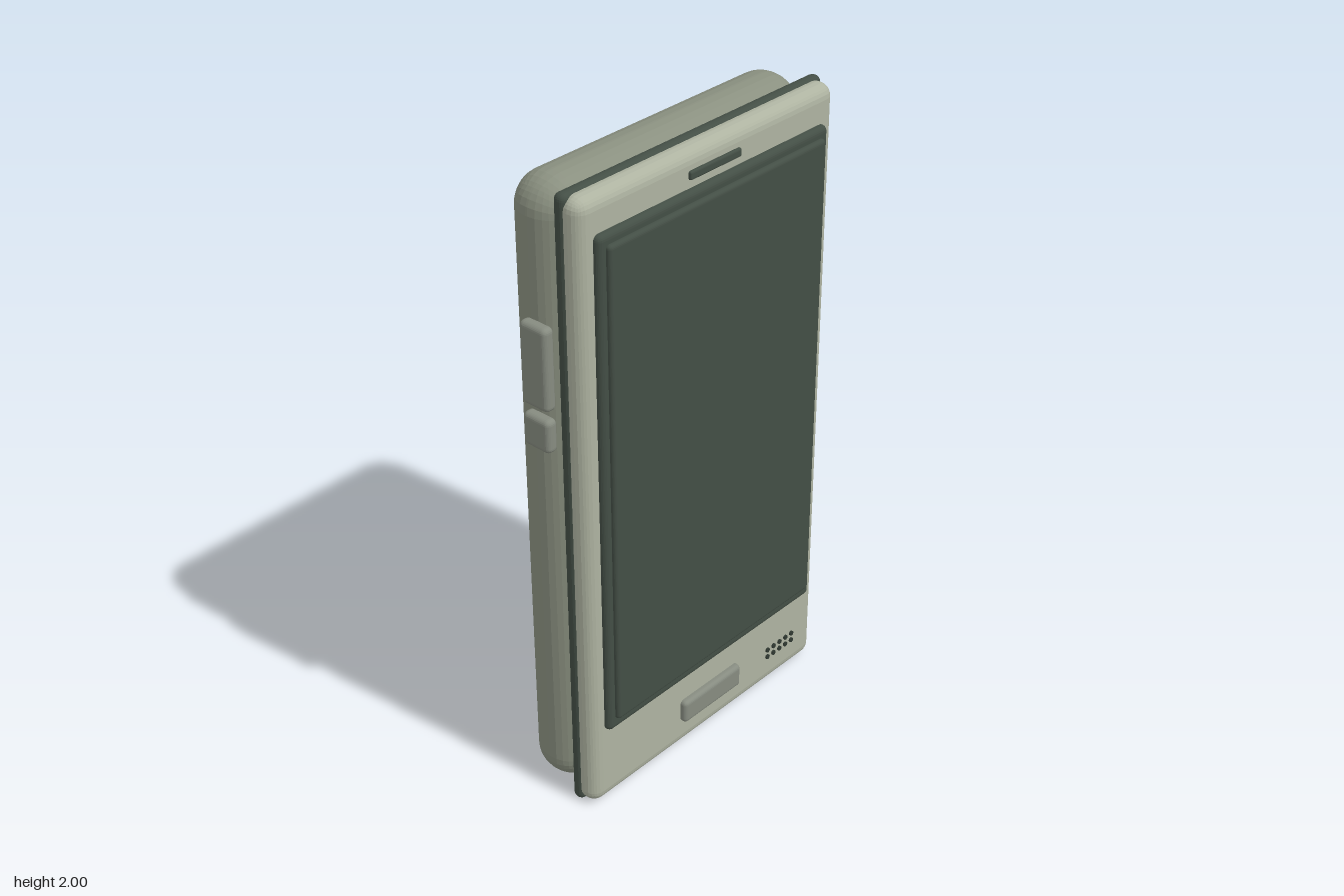
import * as THREE from 'three';
import { RoundedBoxGeometry } from 'three/addons/geometries/RoundedBoxGeometry.js';

const paint = (name, color) => {
  const m = new THREE.MeshStandardMaterial({ color, flatShading: true });
  m.name = name;
  return m;
};

export function createModel() {
  const phone = new THREE.Group();
  phone.name = 'phone';

  const shell = paint('greyGreenShell', 0x8a9080);
  const pale = paint('paleFace', 0xaeb3a1);
  const dark = paint('darkGlass', 0x434e45);
  const key = paint('greyKey', 0x868b80);
  const hole = paint('darkHole', 0x2f3831);

  // Rounded block given by its limits on each axis
  const block = (name, material, [x0, x1], [y0, y1], [z0, z1], radius, segments = 3) => {
    const geometry = new RoundedBoxGeometry(x1 - x0, y1 - y0, z1 - z0, segments, radius);
    const mesh = new THREE.Mesh(geometry, material);
    mesh.position.set((x0 + x1) / 2, (y0 + y1) / 2, (z0 + z1) / 2);
    mesh.name = name;
    phone.add(mesh);
  };

  // Casing: thick back, dark seam band, pale front plate
  block('backShell', shell, [-0.495, 0.515], [0.002, 1.998], [-0.163, 0.04], 0.098, 4);
  block('seamBand', dark, [-0.498, 0.518], [0, 2], [0.033, 0.076], 0.02);
  block('frontPlate', pale, [-0.495, 0.515], [0.005, 1.995], [0.042, 0.125], 0.04);

  // Display: stepped frame and glass
  block('screenFrame', dark, [-0.445, 0.465], [0.275, 1.89], [0.105, 0.145], 0.018);
  block('screenGlass', dark, [-0.42, 0.44], [0.315, 1.86], [0.125, 0.159], 0.012);

  // Earpiece slot and home key
  block('earpiece', dark, [-0.09, 0.112], [1.914, 1.94], [0.115, 0.134], 0.006, 2);
  block('homeKey', key, [-0.117, 0.14], [0.1, 0.18], [0.105, 0.146], 0.014);

  // Speaker holes, two rows of five
  const dotGeometry = new THREE.CylinderGeometry(0.008, 0.008, 0.008, 8).rotateX(Math.PI / 2);
  for (let row = 0; row < 2; row++) {
    for (let col = 0; col < 5; col++) {
      const dot = new THREE.Mesh(dotGeometry, hole);
      dot.position.set(0.289 + col * 0.029, 0.112 + row * 0.027, 0.127);
      dot.name = 'speakerHole';
      phone.add(dot);
    }
  }

  // Side keys on the model's right edge
  block('longSideKey', key, [-0.525, -0.485], [1.352, 1.606], [-0.079, 0.019], 0.016);
  block('shortSideKey', key, [-0.525, -0.485], [1.222, 1.326], [-0.079, 0.019], 0.016);

  return phone;
}
